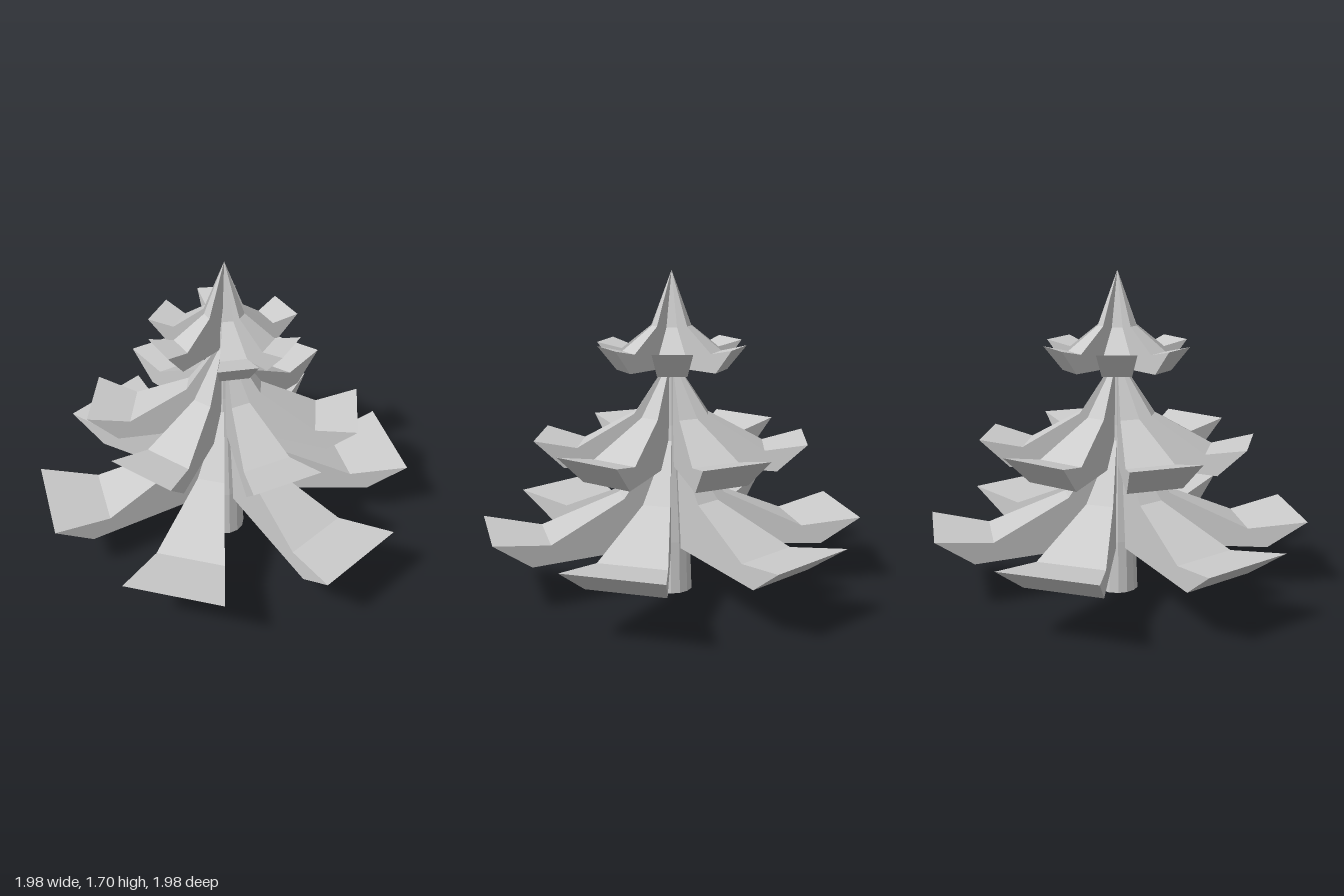
import * as THREE from 'three';

const CENTRE_X = -0.01;
const SPREAD = 0.268; // half width of a branch per unit of radius

// Each profile runs [radius, height]: apex, knee, bend, upturned tip, underside, axis.
const TIERS = [
  {
    name: 'lowerBranches',
    profile: [[0, 0.88], [0.27, 0.53], [0.67, 0.345], [0.97, 0.39], [0.77, 0.245], [0, 0.245]],
    angles: [-84.5, -24, 36, 96, 156, 215],
  },
  {
    name: 'middleBranches',
    profile: [[0, 1.26], [0.19, 0.96], [0.48, 0.79], [0.695, 0.835], [0.545, 0.685], [0, 0.685]],
    angles: [-67, -4.5, 55, 117, 176, 231],
  },
  {
    name: 'topBranches',
    profile: [[0, 1.7], [0.1, 1.42], [0.25, 1.295], [0.375, 1.325], [0.28, 1.2], [0, 1.2]],
    angles: [-41, 20, 71, 140, 196, 255],
  },
];

// A wedge that widens away from the trunk axis
function branchGeometry(profile) {
  const shape = new THREE.Shape(profile.map(([r, y]) => new THREE.Vector2(r, y)));
  const geometry = new THREE.ExtrudeGeometry(shape, { depth: 2, bevelEnabled: false });
  const p = geometry.attributes.position;
  for (let i = 0; i < p.count; i++) {
    p.setZ(i, (p.getZ(i) - 1) * SPREAD * p.getX(i));
  }
  geometry.computeVertexNormals();
  return geometry;
}

export function createModel() {
  const model = new THREE.Group();
  model.name = 'tree';
  const grey = new THREE.MeshStandardMaterial({ name: 'light grey', color: 0xcccccc });

  // Tapering trunk, closed at the base
  const trunkProfile = [[0, 0], [0.11, 0], [0.1, 0.28], [0.04, 0.9], [0.03, 1.3], [0, 1.5]];
  const trunkGeometry = new THREE.LatheGeometry(
    trunkProfile.map(([r, y]) => new THREE.Vector2(r, y)), 14).toNonIndexed();
  trunkGeometry.computeVertexNormals();
  const trunk = new THREE.Mesh(trunkGeometry, grey);
  trunk.name = 'trunk';
  trunk.position.x = CENTRE_X;
  model.add(trunk);

  // Three tiers of six branches
  for (const { name, profile, angles } of TIERS) {
    const tier = new THREE.Group();
    tier.name = name;
    tier.position.x = CENTRE_X;
    const geometry = branchGeometry(profile);
    angles.forEach((angle, i) => {
      const branch = new THREE.Mesh(geometry, grey);
      branch.name = `branch${i + 1}`;
      branch.rotation.y = -THREE.MathUtils.degToRad(angle);
      tier.add(branch);
    });
    model.add(tier);
  }
  return model;
}
